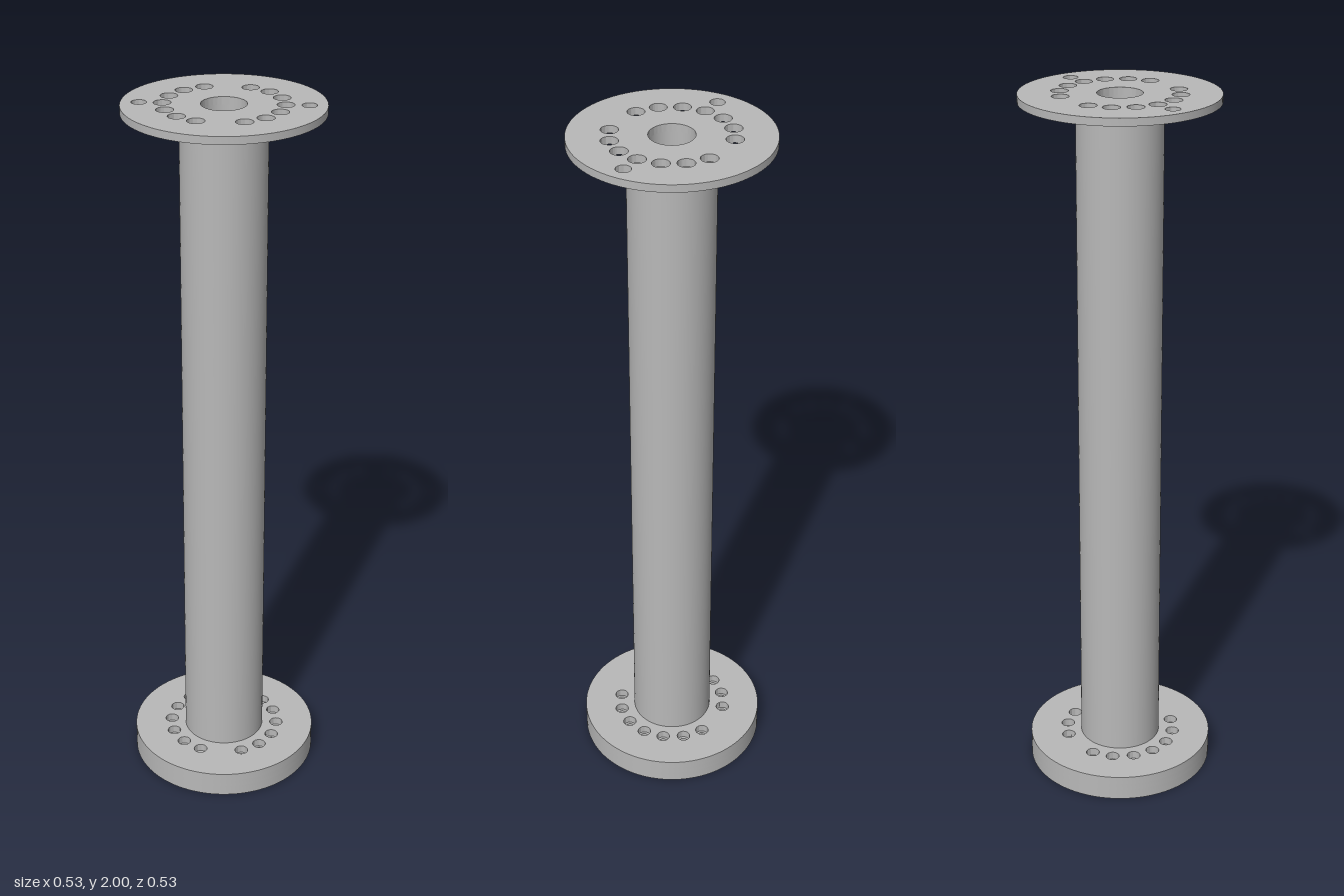
import * as THREE from 'three';
import { toCreasedNormals } from 'three/addons/utils/BufferGeometryUtils.js';

const FLANGE_R = 0.266, BORE_R = 0.06, TUBE_R = 0.116, BOLT_CIRCLE = 0.158;
const BASE_TOP = 0.073, CAP_BOTTOM = 1.979;

export function createModel() {
  const group = new THREE.Group();
  const steel = new THREE.MeshStandardMaterial({ color: 0xb8b8b8 });

  const add = (name, geometry) => {
    const mesh = new THREE.Mesh(geometry, steel);
    mesh.name = name;
    group.add(mesh);
  };

  // Flat disc between two heights, pierced by round holes [x, z, radius]
  const disc = (name, y0, y1, holes) => {
    const shape = new THREE.Shape().absarc(0, 0, FLANGE_R, 0, Math.PI * 2);
    for (const [x, z, r] of holes) {
      shape.holes.push(new THREE.Path().absarc(x, -z, r, 0, Math.PI * 2, true));
    }
    const geometry = new THREE.ExtrudeGeometry(shape, {
      depth: y1 - y0, bevelEnabled: false, curveSegments: 48,
    });
    geometry.rotateX(-Math.PI / 2).translate(0, y0, 0);
    add(name, toCreasedNormals(geometry, 0.6));
  };

  // Seven bolt holes on each side, leaving gaps at front and back
  const boltHoles = (r) => {
    const holes = [];
    for (const side of [0, Math.PI]) {
      for (let i = -3; i <= 3; i++) {
        const a = side + i * Math.PI / 8;
        holes.push([Math.cos(a) * BOLT_CIRCLE, Math.sin(a) * BOLT_CIRCLE, r]);
      }
    }
    return holes;
  };
  const bore = [0, 0, BORE_R];

  // Base flange: recessed underside, bolt holes counterbored from above
  disc('baseRim', 0, 0.03, [[0, 0, 0.178]]);
  disc('baseWeb', 0.03, 0.05, [bore, ...boltHoles(0.012)]);
  disc('baseCounterbores', 0.05, BASE_TOP, [bore, ...boltHoles(0.019)]);

  // Top flange with bolt holes and two outer locating holes
  disc('topFlange', CAP_BOTTOM, 2, [
    bore, ...boltHoles(0.023), [0.218, 0, 0.02], [-0.218, 0, 0.02],
  ]);

  // Hollow column: outer wall upwards, bore wall downwards so it faces inwards
  const wall = (r, from, to) => new THREE.LatheGeometry(
    [new THREE.Vector2(r, from), new THREE.Vector2(r, to)], 96);
  add('columnOuterWall', wall(TUBE_R, BASE_TOP, CAP_BOTTOM));
  add('columnBore', wall(BORE_R, CAP_BOTTOM, BASE_TOP));

  return group;
}
